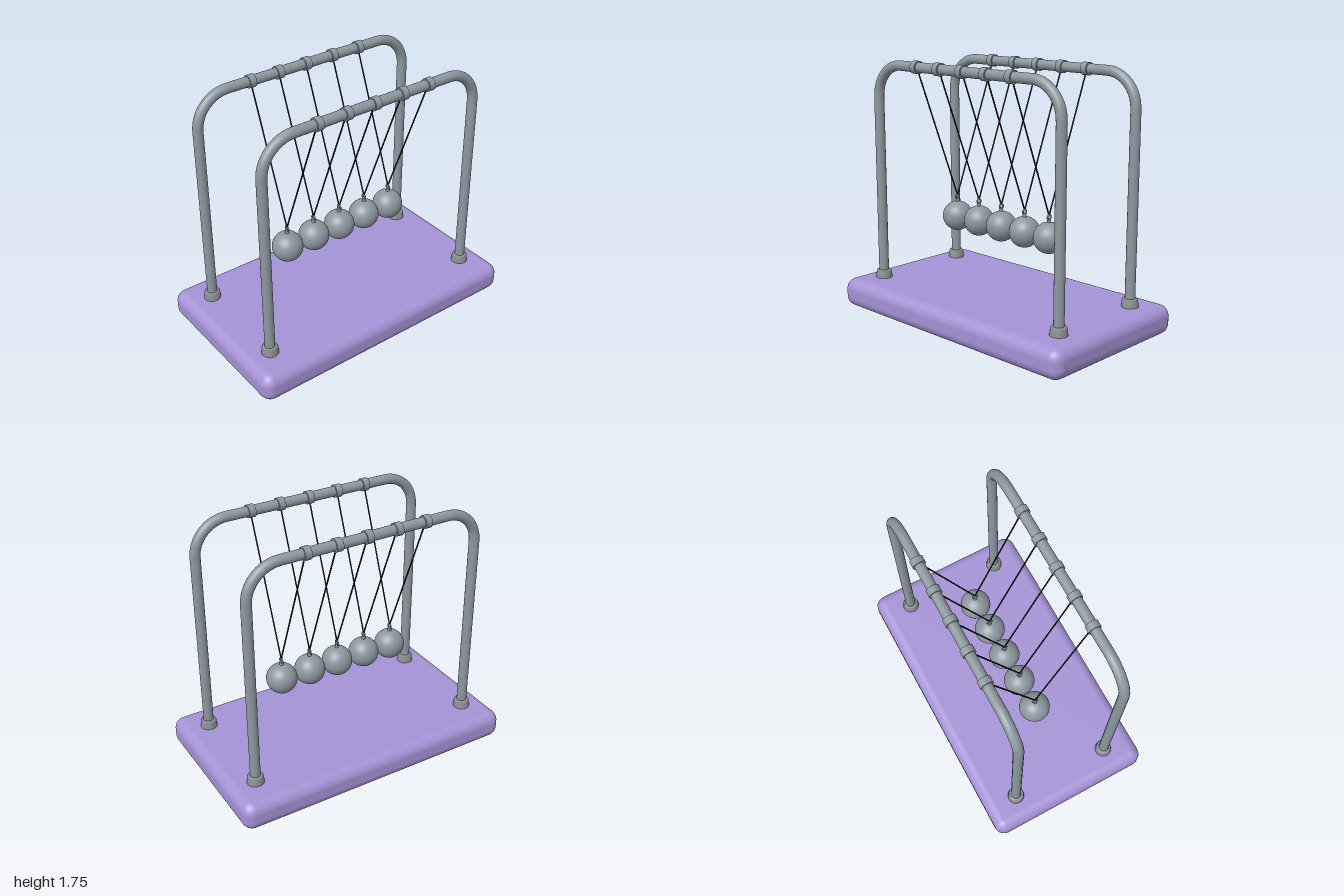
import * as THREE from 'three';
import { RoundedBoxGeometry } from 'three/addons/geometries/RoundedBoxGeometry.js';

const material = (name, color) => {
  const m = new THREE.MeshStandardMaterial({ color });
  m.name = name;
  return m;
};

export function createModel() {
  const purple = material('purple base', 0xa593d6);
  const steel = material('steel', 0x8c989f);
  const footGrey = material('foot grey', 0x8a9092);
  const black = material('black string', 0x1b1b1d);

  const model = new THREE.Group();
  model.name = 'swingingBallPendulum';
  const add = (parent, name, geometry, mat, x = 0, y = 0, z = 0) => {
    const mesh = new THREE.Mesh(geometry, mat);
    mesh.name = name;
    mesh.position.set(x, y, z);
    parent.add(mesh);
    return mesh;
  };

  const postX = 0.817, railY = 1.708, railZ = 0.352, baseTop = 0.2;
  const bend = 0.225, spacing = 0.2115, ballY = 0.654, ringY = 0.789;

  // Rounded base slab
  add(model, 'base', new RoundedBoxGeometry(2, baseTop, 1.16, 6, 0.075), purple, 0, baseTop / 2, 0);

  // One hoop path: post, rounded corner, rail, rounded corner, post
  const points = [new THREE.Vector3(-postX, baseTop - 0.02, 0)];
  const arc = (cx, from, to) => {
    for (let i = 0; i <= 14; i++) {
      const a = from + (to - from) * i / 14;
      points.push(new THREE.Vector3(cx + bend * Math.cos(a), railY - bend + bend * Math.sin(a), 0));
    }
  };
  arc(-postX + bend, Math.PI, Math.PI / 2);
  arc(postX - bend, Math.PI / 2, 0);
  points.push(new THREE.Vector3(postX, baseTop - 0.02, 0));
  const path = new THREE.CurvePath();
  for (let i = 1; i < points.length; i++) path.add(new THREE.LineCurve3(points[i - 1], points[i]));
  const hoopGeometry = new THREE.TubeGeometry(path, 160, 0.034, 20);

  // Tapered foot with a softened top edge
  const footGeometry = new THREE.LatheGeometry(
    [[0.057, 0], [0.052, 0.046], [0.046, 0.056], [0, 0.056]].map(([r, y]) => new THREE.Vector2(r, y)), 28);
  const collarGeometry = new THREE.CylinderGeometry(0.043, 0.043, 0.046, 24).rotateZ(Math.PI / 2);

  // Front and back frames
  for (const side of [1, -1]) {
    const frame = new THREE.Group();
    frame.name = side > 0 ? 'frontFrame' : 'backFrame';
    frame.position.z = side * railZ;
    model.add(frame);
    add(frame, 'hoop', hoopGeometry, steel);
    for (const x of [-postX, postX]) add(frame, 'foot', footGeometry, footGrey, x, baseTop, 0);
    for (let i = -2; i <= 2; i++) add(frame, 'collar', collarGeometry, steel, i * spacing, railY, 0);
  }

  // Five balls, each with stem, eyelet and a pair of strings
  const ballGeometry = new THREE.SphereGeometry(0.1035, 36, 24);
  const stemGeometry = new THREE.CylinderGeometry(0.012, 0.014, 0.03, 14);
  const eyeletGeometry = new THREE.TorusGeometry(0.016, 0.006, 10, 24).rotateY(Math.PI / 2);
  const stringBottom = ringY + 0.01;
  const rise = railY - stringBottom;
  const stringGeometry = new THREE.CylinderGeometry(0.005, 0.005, Math.hypot(rise, railZ), 8);
  for (let i = -2; i <= 2; i++) {
    const pendulum = new THREE.Group();
    pendulum.name = 'pendulum';
    pendulum.position.x = i * spacing;
    model.add(pendulum);
    add(pendulum, 'ball', ballGeometry, steel, 0, ballY, 0);
    add(pendulum, 'stem', stemGeometry, steel, 0, ballY + 0.112, 0);
    add(pendulum, 'eyelet', eyeletGeometry, steel, 0, ringY, 0);
    for (const side of [1, -1]) {
      const string = add(pendulum, 'string', stringGeometry, black, 0, (railY + stringBottom) / 2, side * railZ / 2);
      string.rotation.x = side * Math.atan2(railZ, rise);
    }
  }

  return model;
}
